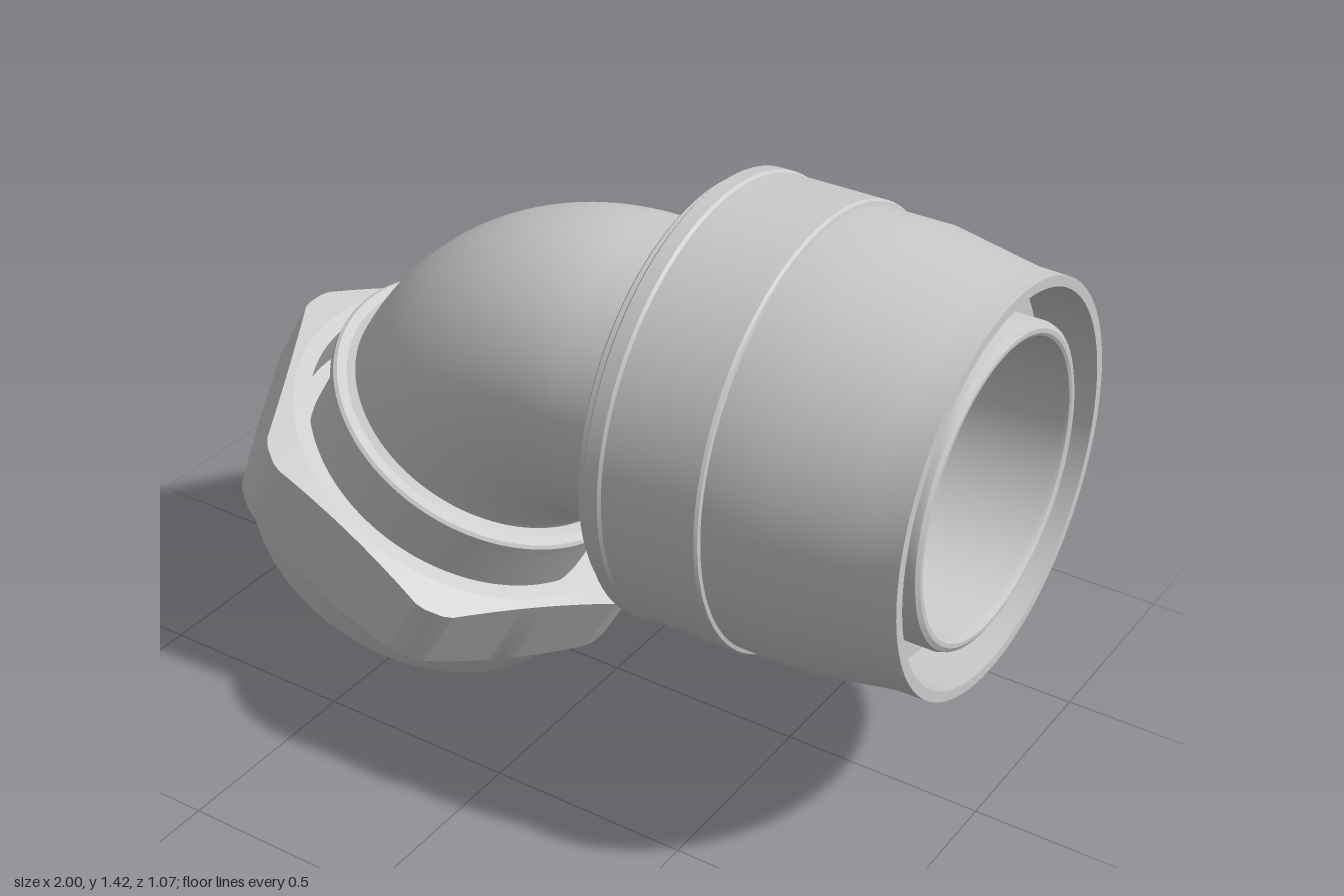
import * as THREE from 'three';
import { toCreasedNormals } from 'three/addons/utils/BufferGeometryUtils.js';

const grey = new THREE.MeshStandardMaterial({ color: 0xcccccc });
const greyDouble = new THREE.MeshStandardMaterial({ color: 0xcccccc, side: THREE.DoubleSide });

const BORE = 0.34, PIPE = 0.367, BEND = 0.462, NECK = 0.385;

function add(parent, name, geometry, material = grey) {
  const mesh = new THREE.Mesh(geometry, material);
  mesh.name = name;
  parent.add(mesh);
  return mesh;
}

// Revolves [radius, height] pairs about y, keeping profile corners sharp
function turned(profile, segments = 96) {
  const points = profile.map(([r, y]) => new THREE.Vector2(r, y));
  return toCreasedNormals(new THREE.LatheGeometry(points, segments), 0.4);
}

// Hexagon nut: rows at the full corner radius slide down the chamfer cones to the flats
function hexNut() {
  const corner = 0.545, apothem = 0.49;
  const profile = [
    [0.43, 0.475], [0.425, 0.30], [0.43, 0.15], [0.47, 0.15],
    [corner, 0.172], [corner, 0.357], [0.49, 0.385], [0.465, 0.485], [0.44, 0.485], [0.43, 0.475],
  ];
  const geo = new THREE.LatheGeometry(profile.map(([r, y]) => new THREE.Vector2(r, y)), 144);
  const pos = geo.attributes.position;
  const sector = Math.PI / 3;
  for (let i = 0; i < pos.count; i++) {
    const x = pos.getX(i), z = pos.getZ(i), y = pos.getY(i);
    const r = Math.hypot(x, z);
    if (r < corner - 0.001) continue;
    const a = Math.atan2(z, x) + 2 * Math.PI;
    const fromFlat = (a % sector) - sector / 2;
    const cut = Math.min(corner, apothem / Math.cos(fromFlat));
    const newY = y < 0.25
      ? 0.15 + 0.022 * (cut - 0.47) / (corner - 0.47)
      : 0.385 - 0.028 * (cut - 0.49) / (corner - 0.49);
    pos.setXYZ(i, x * cut / r, newY, z * cut / r);
  }
  return toCreasedNormals(geo, 0.25);
}

export function createModel() {
  const model = new THREE.Group();
  model.name = 'pipeElbow';

  // Sixty degree bend, outer wall and bore
  const bend = new THREE.Group();
  bend.name = 'bend';
  bend.position.set(0.05, 0.425, 0);
  bend.rotation.z = Math.PI / 2;
  add(bend, 'bendWall', new THREE.TorusGeometry(BEND, PIPE, 96, 48, Math.PI / 3));
  add(bend, 'bendBore', new THREE.TorusGeometry(BEND, BORE, 96, 48, Math.PI / 3), greyDouble);
  model.add(bend);

  // Horizontal end: local y runs along +x
  const side = new THREE.Group();
  side.name = 'socketEnd';
  side.position.y = 0.425 + BEND;
  side.rotation.z = -Math.PI / 2;
  add(side, 'straightPipe', turned([
    [PIPE, 0.05], [PIPE, 0.26], [0.375, 0.26], [0.375, 0.972], [0.371, 0.984], [0.36, 0.99],
    [0.35, 0.99], [0.343, 0.986], [BORE, 0.975], [BORE, 0.05],
  ]));
  add(side, 'socketSleeve', turned([
    [PIPE, 0.24], [0.51, 0.24], [0.515, 0.245], [0.515, 0.265], [0.53, 0.265], [0.535, 0.27],
    [0.535, 0.305], [0.53, 0.312], [0.53, 0.545], [0.526, 0.552], [0.517, 0.554],
    [0.517, 0.71], [0.482, 0.92], [0.48, 1.0], [0.455, 1.0], [0.455, 0.85], [0.37, 0.85],
  ]));
  model.add(side);

  // Lower end: local y runs out of the bend, down and to the right
  const lower = new THREE.Group();
  lower.name = 'nutEnd';
  lower.position.set(
    0.05 - BEND * Math.cos(Math.PI / 6), 0.425 + BEND * Math.sin(Math.PI / 6), 0);
  lower.rotation.z = THREE.MathUtils.degToRad(150);
  add(lower, 'neck', turned([
    [PIPE, 0], [NECK, 0.01], [NECK, 0.42], [BORE, 0.42], [BORE, 0],
  ]));
  add(lower, 'collarRing', turned([
    [NECK, 0.01], [0.41, 0.01], [0.417, 0.017], [0.417, 0.038], [0.41, 0.045], [NECK, 0.045],
  ]));
  add(lower, 'clampRing', turned([
    [0.38, 0.28], [0.428, 0.28], [0.428, 0.41], [0.38, 0.41], [0.38, 0.28],
  ]));
  add(lower, 'hexNut', hexNut());

  // Small diamond mark on one flat of the nut
  const mark = add(lower, 'nutMark',
    toCreasedNormals(new THREE.CylinderGeometry(0.025, 0.025, 0.012, 4), 0.2));
  const normal = new THREE.Vector3(Math.cos(Math.PI / 6), 0, -0.5);
  mark.quaternion.setFromUnitVectors(new THREE.Vector3(0, 1, 0), normal);
  mark.position.set(0.522, 0.24, -0.075);
  model.add(lower);

  return model;
}
